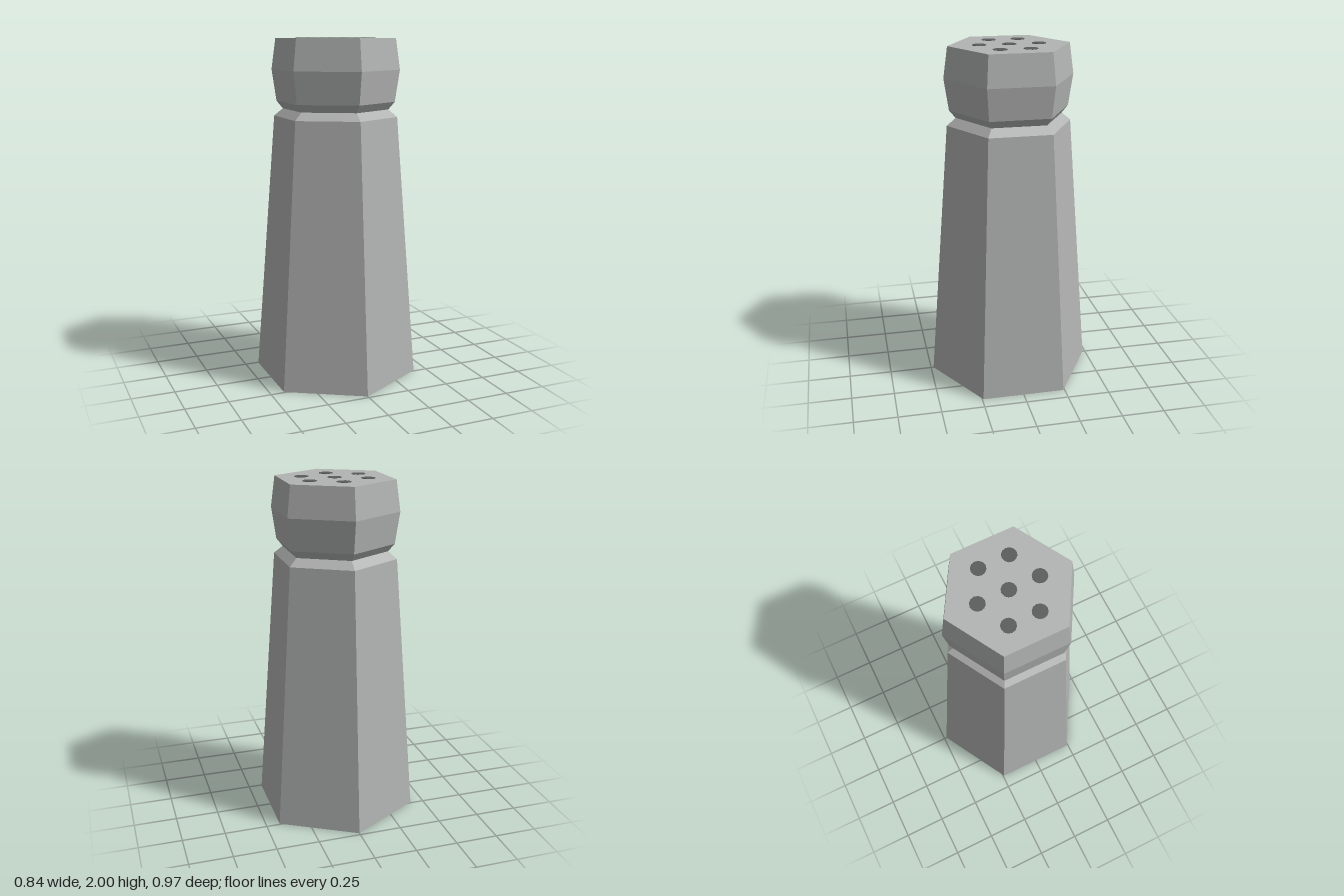
import * as THREE from 'three';

export function createModel() {
  const group = new THREE.Group();
  const metal = new THREE.MeshStandardMaterial({ name: 'greyMetal', color: 0xb2b4b3, flatShading: true });
  const dark = new THREE.MeshStandardMaterial({ name: 'darkHole', color: 0x5b5b5b });

  // Six-sided solid from a [radius, height] profile, with corners at front and back
  function hexLathe(name, profile) {
    const points = profile.map(([r, y]) => new THREE.Vector2(r, y));
    const mesh = new THREE.Mesh(new THREE.LatheGeometry(points, 6), metal);
    mesh.name = name;
    group.add(mesh);
  }

  // Tapered body with a bevelled shoulder
  hexLathe('body', [[0, 0], [0.485, 0], [0.362, 1.55], [0.31, 1.593], [0, 1.593]]);

  // Bulging cap
  hexLathe('cap', [[0, 1.593], [0.31, 1.593], [0.347, 1.637], [0.374, 1.82], [0.349, 1.998], [0, 1.998]]);

  // Pouring holes: one in the middle and a ring of six
  const holeGeometry = new THREE.CylinderGeometry(0.041, 0.041, 0.004, 12);
  const spots = [[0, 0], [0, 0.17], [0, -0.17]];
  for (const sx of [-1, 1]) for (const sz of [-1, 1]) spots.push([sx * 0.169, sz * 0.085]);
  for (const [x, z] of spots) {
    const hole = new THREE.Mesh(holeGeometry, dark);
    hole.name = 'pouringHole';
    hole.position.set(x, 1.998, z);
    group.add(hole);
  }
  return group;
}
